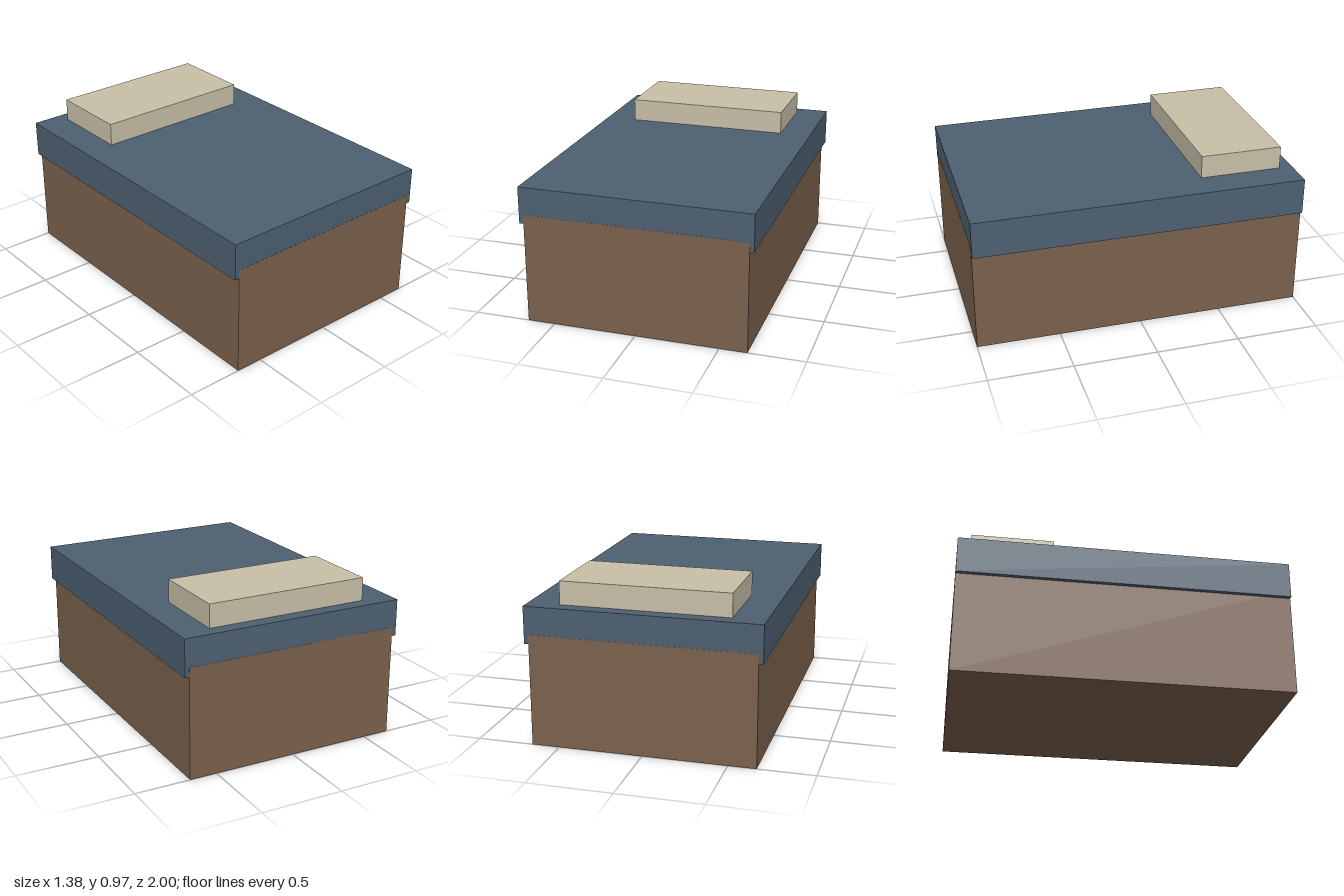
import * as THREE from 'three';

export function createModel() {
  const model = new THREE.Group();
  model.name = 'bed';

  const flat = (name, color) => {
    const material = new THREE.MeshStandardMaterial({ color });
    material.name = name;
    return material;
  };
  const brown = flat('brown wood', 0x7b614d);
  const blue = flat('slate blue fabric', 0x4d6072);
  const cream = flat('cream fabric', 0xc8bfa7);

  // Box given by its width, depth, bottom and top heights, and centre z
  const addBox = (name, material, width, depth, bottom, top, z = 0) => {
    const mesh = new THREE.Mesh(new THREE.BoxGeometry(width, top - bottom, depth), material);
    mesh.name = name;
    mesh.position.set(0, (bottom + top) / 2, z);
    model.add(mesh);
  };

  // Solid base, rising slightly into the mattress and showing at both ends
  addBox('base', brown, 1.33, 2, 0, 0.667);
  // Mattress, a little wider than the base; a hair shorter so the ends do not coincide
  addBox('mattress', blue, 1.382, 1.998, 0.612, 0.834);
  // Pillow near the back end
  addBox('pillow', cream, 1, 0.5, 0.834, 0.973, -0.667);

  return model;
}
